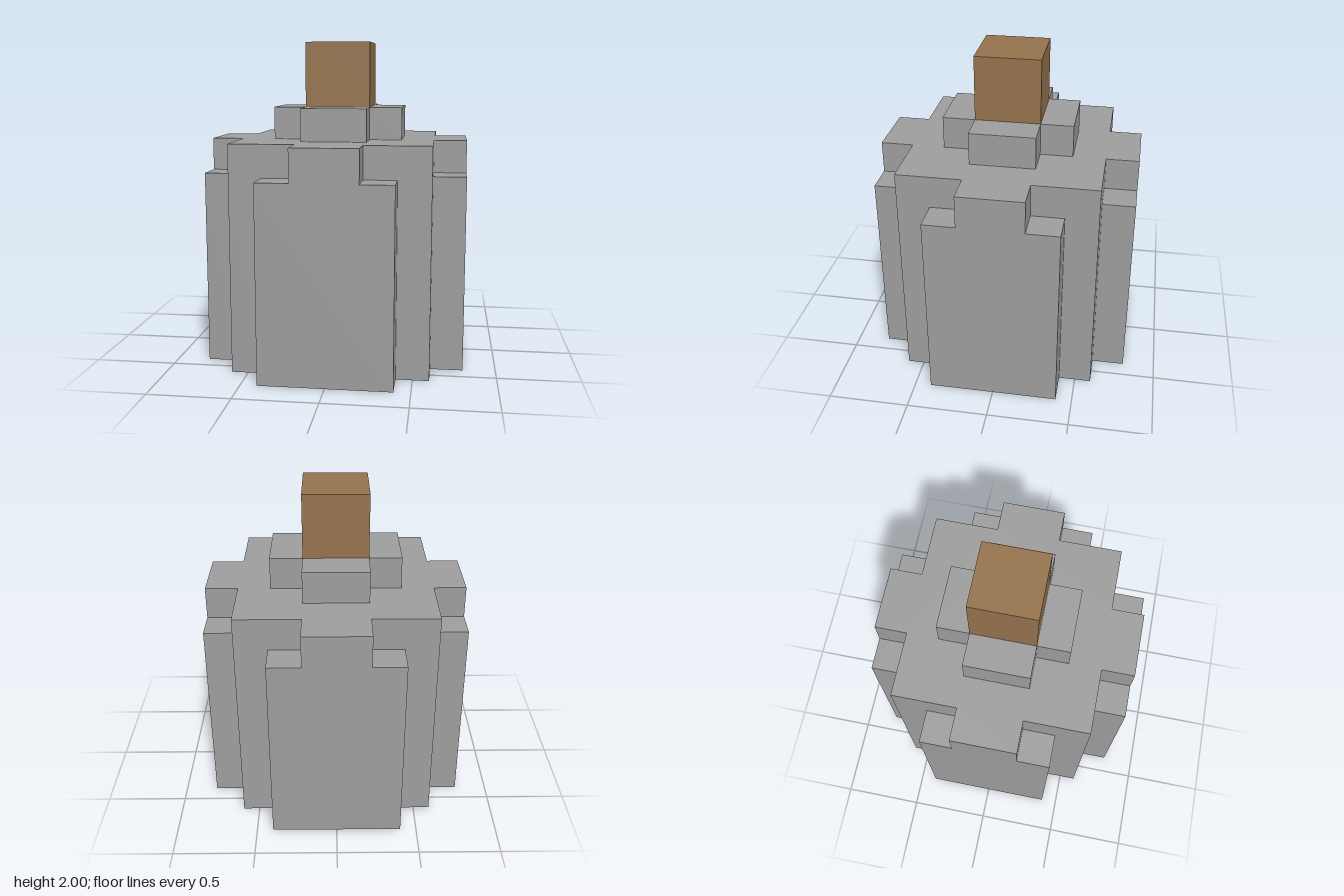
import * as THREE from 'three';

const grey = new THREE.MeshStandardMaterial({ color: 0x9e9e9e });
grey.name = 'grey';
const brown = new THREE.MeshStandardMaterial({ color: 0x96734d });
brown.name = 'brown';
const darkOlive = new THREE.MeshStandardMaterial({ color: 0x413f16 });
darkOlive.name = 'dark olive';

// Prism whose outline is a quarter of its corners turned four times about y.
function steppedPrism(name, quarter, bottom, top, material) {
  const points = [];
  let corners = quarter;
  for (let i = 0; i < 4; i++) {
    corners.forEach(([x, y]) => points.push(new THREE.Vector2(x, y)));
    corners = corners.map(([x, y]) => [-y, x]);
  }
  const geometry = new THREE.ExtrudeGeometry(new THREE.Shape(points), {
    depth: top - bottom,
    bevelEnabled: false,
  });
  geometry.rotateX(-Math.PI / 2).translate(0, bottom, 0);
  const mesh = new THREE.Mesh(geometry, material);
  mesh.name = name;
  return mesh;
}

export function createModel() {
  const group = new THREE.Group();
  group.name = 'blockGourd';
  group.add(
    // Dark cross on the underside
    steppedPrism('basePatch', [[0.6, -0.4], [0.6, 0.4], [0.4, 0.4]], 0, 0.004, darkOlive),
    // Ribbed body with a wide panel on each side
    steppedPrism('body', [[0.8, -0.4], [0.8, 0.4], [0.6, 0.4], [0.6, 0.6], [0.4, 0.6]], 0.002, 1.2, grey),
    // Shoulder, where the side panels narrow
    steppedPrism('shoulder', [[0.8, -0.2], [0.8, 0.2], [0.6, 0.2], [0.6, 0.6], [0.2, 0.6]], 1.2, 1.4, grey),
    // Cross-shaped collar round the stem
    steppedPrism('collar', [[0.4, -0.2], [0.4, 0.2], [0.2, 0.2]], 1.4, 1.6, grey),
    steppedPrism('stem', [[0.2, 0.2]], 1.6, 2, brown),
  );
  return group;
}
